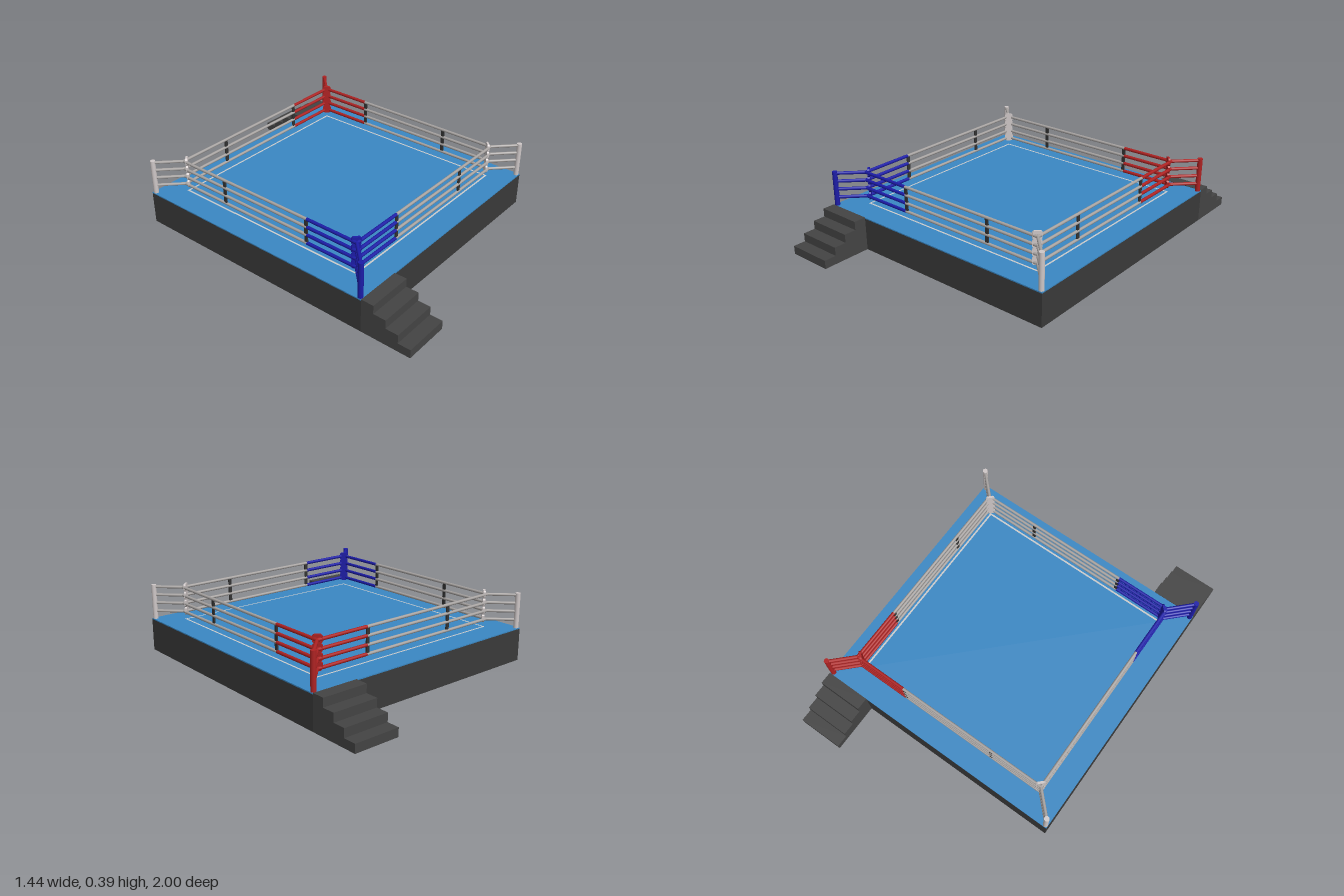
import * as THREE from 'three';

const paint = (color) => new THREE.MeshStandardMaterial({ color });
const mats = {
  base: paint(0x3a3a3a), step: paint(0x444444), mat: paint(0x3a88c4), line: paint(0xcccccc),
  white: paint(0xcfc8c8), rope: paint(0xa8a4a2), spacer: paint(0x333333),
  blue: paint(0x1c1ca8), red: paint(0xae2222),
};
const ROPE_Y = [0.231, 0.278, 0.324, 0.37];
const IN = 0.59, POST = 0.705, SPLIT = 0.285, MAT_Y = 0.186;

export function createModel() {
  const root = new THREE.Group();
  root.name = 'boxingRing';

  const add = (parent, name, geometry, material, x = 0, y = 0, z = 0) => {
    const mesh = new THREE.Mesh(geometry, material);
    mesh.name = name;
    mesh.position.set(x, y, z);
    parent.add(mesh);
    return mesh;
  };
  const box = (parent, name, material, w, h, d, x, y, z) =>
    add(parent, name, new THREE.BoxGeometry(w, h, d), material, x, y, z);

  // Straight round rope between two points
  const rope = (parent, name, material, a, b, radius) => {
    const dir = b.clone().sub(a);
    const mesh = add(parent, name, new THREE.CylinderGeometry(radius, radius, dir.length(), 10), material);
    mesh.position.copy(a).add(b).multiplyScalar(0.5);
    mesh.quaternion.setFromUnitVectors(new THREE.Vector3(0, 1, 0), dir.normalize());
  };

  // Platform and canvas
  box(root, 'platform', mats.base, 1.44, 0.18, 1.44, 0, 0.09, 0);
  box(root, 'canvas', mats.mat, 1.44, 0.006, 1.44, 0, 0.183, 0);

  // Painted border on the canvas
  const border = new THREE.Shape();
  const square = (path, s) => path.moveTo(-s, -s).lineTo(s, -s).lineTo(s, s).lineTo(-s, s).closePath();
  square(border, 0.587);
  const hole = new THREE.Path();
  square(hole, 0.577);
  border.holes.push(hole);
  const borderGeo = new THREE.ShapeGeometry(border);
  borderGeo.rotateX(-Math.PI / 2);
  add(root, 'borderLine', borderGeo, mats.line, 0, MAT_Y + 0.001, 0);

  // Two stairs at opposite corners, each a stepped profile
  const profile = new THREE.Shape();
  profile.moveTo(0.72, 0).lineTo(1, 0);
  for (let i = 0; i < 4; i++) {
    const h = 0.047 * (i + 1);
    profile.lineTo(1 - 0.07 * i, h).lineTo(1 - 0.07 * (i + 1), h);
  }
  profile.closePath();
  for (const turn of [0, Math.PI]) {
    const stairs = new THREE.Group();
    stairs.name = turn ? 'backStairs' : 'frontStairs';
    const geo = new THREE.ExtrudeGeometry(profile, { depth: 0.255, bevelEnabled: false });
    geo.rotateY(-Math.PI / 2);
    add(stairs, 'steps', geo, mats.step, -0.465, 0, 0);
    stairs.rotation.y = turn;
    root.add(stairs);
  }

  // Chamfered cushion used at every rope in the corners
  const cushion = new THREE.Shape();
  const w = 0.024, h = 0.022, c = 0.008;
  cushion.moveTo(-w + c, -h).lineTo(w - c, -h).lineTo(w, -h + c).lineTo(w, h - c)
    .lineTo(w - c, h).lineTo(-w + c, h).lineTo(-w, h - c).lineTo(-w, -h + c).closePath();
  const cushionGeo = new THREE.ExtrudeGeometry(cushion, { depth: 0.012, bevelEnabled: false });
  cushionGeo.translate(0, 0, -0.006);

  // Corners: post, tie ropes, cushions and the coloured rope ends
  const corners = [
    ['frontRight', -1, 1, mats.blue, mats.blue], ['backLeft', 1, -1, mats.red, mats.red],
    ['frontLeft', 1, 1, mats.white, mats.rope], ['backRight', -1, -1, mats.white, mats.rope],
  ];
  for (const [name, sx, sz, solid, cord] of corners) {
    const corner = new THREE.Group();
    corner.name = name + 'Corner';
    root.add(corner);
    add(corner, 'post', new THREE.CylinderGeometry(0.014, 0.014, 0.197, 16), solid,
      sx * POST, MAT_Y + 0.0965, sz * POST);
    const r = cord === mats.rope ? 0.008 : 0.009;
    ROPE_Y.forEach((y, i) => {
      const knot = new THREE.Vector3(sx * IN, y, sz * IN);
      rope(corner, 'tieRope', cord, new THREE.Vector3(sx * POST, y, sz * POST), knot, r);
      rope(corner, 'ropeEndX', cord, knot, new THREE.Vector3(sx * SPLIT, y, sz * IN), r);
      rope(corner, 'ropeEndZ', cord, knot, new THREE.Vector3(sx * IN, y, sz * SPLIT), r);
      const pad = add(corner, 'cushion', cushionGeo, solid, sx * 0.578, 0.239 + 0.044 * i, sz * 0.578);
      pad.rotation.y = Math.atan2(sx, sz);
    });
  }

  // Four sides: middle rope spans and vertical spacers
  for (let i = 0; i < 4; i++) {
    const side = new THREE.Group();
    side.name = ['front', 'left', 'back', 'right'][i] + 'Ropes';
    side.rotation.y = i * Math.PI / 2;
    root.add(side);
    for (const y of ROPE_Y) {
      rope(side, 'middleRope', mats.rope, new THREE.Vector3(-SPLIT, y, IN), new THREE.Vector3(SPLIT, y, IN), 0.008);
    }
    for (const x of [-0.279, 0.279]) box(side, 'spacer', mats.spacer, 0.018, 0.139, 0.008, x, 0.3, IN);
  }
  return root;
}
